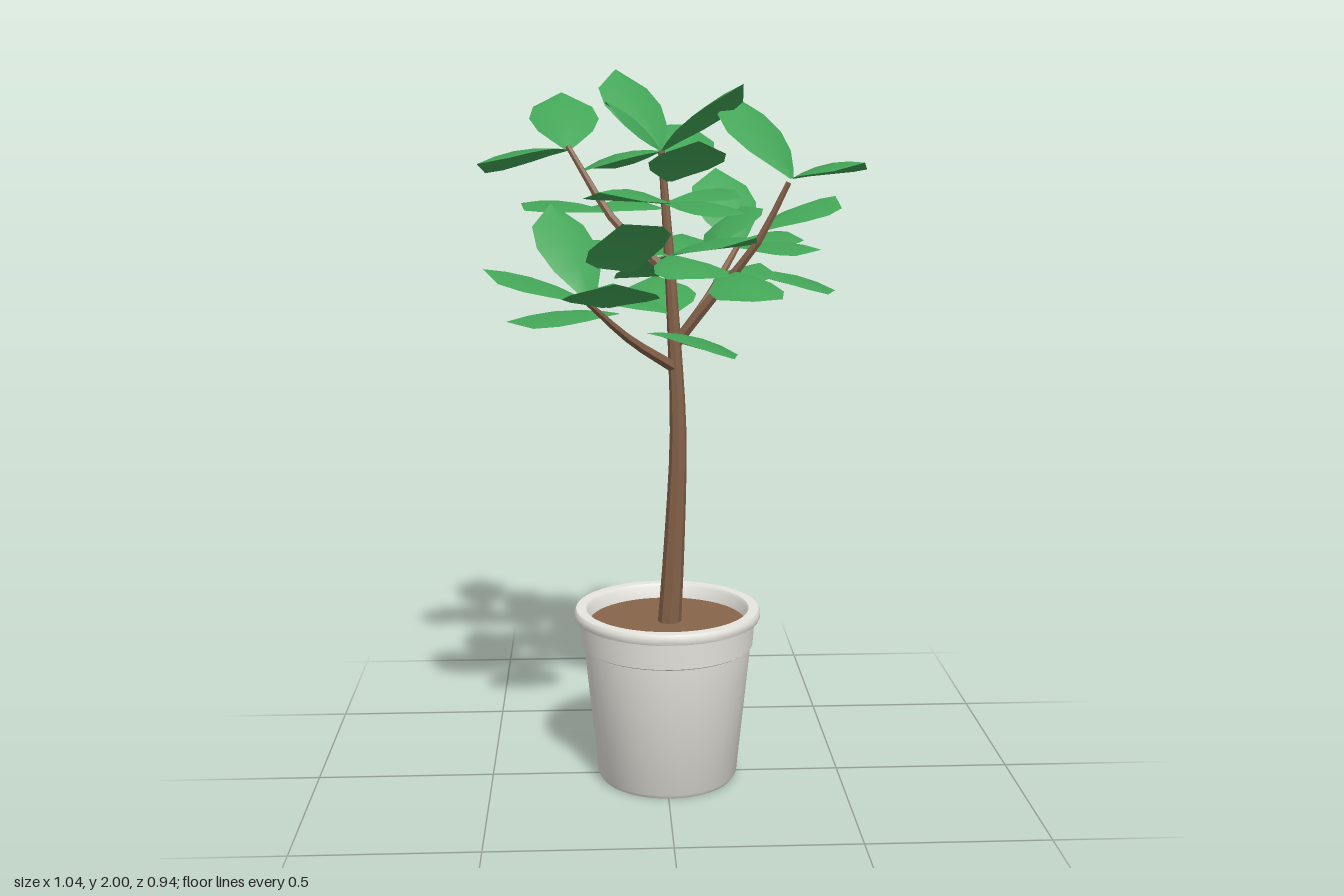
import * as THREE from 'three';
import { toCreasedNormals } from 'three/addons/utils/BufferGeometryUtils.js';

const V = (p) => new THREE.Vector3(...p);

// Tube along a smooth path, thinning from r0 to r1
function taperedTube(points, r0, r1, sides, steps) {
  const curve = new THREE.CatmullRomCurve3(points.map(V));
  const geo = new THREE.TubeGeometry(curve, steps, 1, sides, false);
  const pos = geo.attributes.position;
  const v = new THREE.Vector3();
  for (let i = 0; i <= steps; i++) {
    const c = curve.getPointAt(i / steps);
    const r = THREE.MathUtils.lerp(r0, r1, i / steps);
    for (let j = 0; j <= sides; j++) {
      const k = i * (sides + 1) + j;
      v.fromBufferAttribute(pos, k).sub(c).multiplyScalar(r).add(c);
      pos.setXYZ(k, v.x, v.y, v.z);
    }
  }
  geo.computeVertexNormals();
  return geo;
}

// Broad leaf from base to tip: three columns of points, arched and drooping at the sides.
// A positive roll raises the right-hand edge, looking from base to tip.
function leafGeometry(basePoint, tipPoint, width, roll = 0) {
  const base = V(basePoint);
  const dir = V(tipPoint).sub(base);
  const axis = dir.clone().normalize();
  const side = new THREE.Vector3().crossVectors(dir, new THREE.Vector3(0, 1, 0)).normalize();
  const up = new THREE.Vector3().crossVectors(side, axis);
  side.applyAxisAngle(axis, -roll);
  up.applyAxisAngle(axis, -roll);
  const rows = [[0, 0.03], [0.14, 0.19], [0.34, 0.39], [0.58, 0.5], [0.8, 0.43], [1, 0.01]];
  const verts = [], index = [];
  rows.forEach(([t, w], i) => {
    for (const s of [-1, 0, 1]) {
      const lift = 0.36 * width * t * (1 - t) - (s ? 0.27 * w * width : 0);
      const p = base.clone().addScaledVector(dir, t)
        .addScaledVector(side, s * w * width).addScaledVector(up, lift);
      verts.push(p.x, p.y, p.z);
    }
    if (i === 0) return;
    for (let c = 0; c < 2; c++) {
      const a = (i - 1) * 3 + c, b = a + 1, d = a + 3, e = a + 4;
      index.push(a, b, e, a, e, d);
    }
  });
  const geo = new THREE.BufferGeometry();
  geo.setAttribute('position', new THREE.Float32BufferAttribute(verts, 3));
  geo.setIndex(index);
  geo.computeVertexNormals();
  return geo;
}

export function createModel() {
  const model = new THREE.Group();
  model.name = 'pottedTree';
  const potGrey = new THREE.MeshStandardMaterial({ color: 0xebe9e2, name: 'potGrey' });
  const soilBrown = new THREE.MeshStandardMaterial({ color: 0x87644a, name: 'soilBrown' });
  const barkBrown = new THREE.MeshStandardMaterial({ color: 0x836149, name: 'barkBrown', flatShading: true });
  const leafGreen = new THREE.MeshStandardMaterial({ color: 0x43a557, name: 'leafGreen', side: THREE.DoubleSide });

  const add = (name, geo, mat, parent = model) => {
    const mesh = new THREE.Mesh(geo, mat);
    mesh.name = name;
    parent.add(mesh);
    return mesh;
  };

  // Pot with a collar band and a rolled rim
  const profile = [
    [0, 0], [0.192, 0], [0.2, 0.012], [0.238, 0.392], [0.244, 0.396], [0.249, 0.468],
    [0.262, 0.471], [0.265, 0.478], [0.265, 0.492], [0.26, 0.5], [0.232, 0.5], [0.226, 0.492], [0.22, 0.43],
  ].map(([r, y]) => new THREE.Vector2(r, y));
  const pot = add('pot', toCreasedNormals(new THREE.LatheGeometry(profile, 40), 0.6), potGrey);
  pot.position.x = 0.005;

  const soil = add('soil', new THREE.CircleGeometry(0.224, 40).rotateX(-Math.PI / 2), soilBrown);
  soil.position.set(0.005, 0.458, 0);

  // Trunk and branches
  add('trunk', taperedTube([[0.01, 0.43, 0], [0.025, 0.7, 0.005], [0.035, 1.0, 0.008], [0.025, 1.25, 0.005],
    [0.01, 1.5, 0], [-0.01, 1.78, -0.02]], 0.034, 0.009, 8, 14), barkBrown);
  const branches = new THREE.Group();
  branches.name = 'branches';
  model.add(branches);
  [
    [[0.025, 1.19, 0.005], [-0.1, 1.28, 0.09], [-0.22, 1.4, 0.2]],
    [[0.03, 1.26, 0], [0.13, 1.39, 0.03], [0.24, 1.53, 0.07], [0.325, 1.7, 0.09]],
    [[0.025, 1.25, 0], [0.12, 1.36, -0.12], [0.225, 1.51, -0.26]],
    [[0.01, 1.45, 0], [-0.14, 1.59, -0.1], [-0.265, 1.79, -0.17]],
  ].forEach((path) => add('branch', taperedTube(path, 0.017, 0.008, 6, 6), barkBrown, branches));

  const leaves = new THREE.Group();
  leaves.name = 'leaves';
  model.add(leaves);
  // Each cluster: shared base followed by [tip, width, roll] for its leaves
  const clusters = [
    // crown
    [[-0.01, 1.78, -0.02], [[-0.13, 2.0, -0.2], 0.19], [[0.2, 1.955, 0.1], 0.21], [[-0.22, 1.73, -0.12], 0.22],
      [[0.075, 1.85, -0.25], 0.22, -0.25], [[-0.16, 1.91, 0.1], 0.17, 0.5]],
    // back right-hand branch tip
    [[-0.265, 1.78, -0.17], [[-0.285, 1.94, -0.405], 0.2], [[-0.51, 1.745, -0.05], 0.22, -0.25]],
    // front left-hand branch tip
    [[0.335, 1.71, 0.08], [[0.185, 1.93, -0.08], 0.22], [[0.505, 1.755, 0.22], 0.2]],
    // back left-hand branch tip
    [[0.225, 1.5, -0.255], [[0.17, 1.72, -0.445], 0.2], [[0.39, 1.53, -0.45], 0.21], [[0.45, 1.5, -0.16], 0.21]],
    // front right-hand branch tip
    [[-0.2, 1.39, 0.2], [[-0.485, 1.48, 0.17], 0.21], [[-0.31, 1.64, 0], 0.18]],
    // upper trunk
    [[0, 1.64, 0], [[-0.18, 1.68, 0.21], 0.24], [[0.21, 1.62, 0.13], 0.2], [[0.2, 1.67, -0.13], 0.2]],
    // middle trunk
    [[0.01, 1.5, 0.01], [[0.23, 1.56, 0.18], 0.21], [[-0.08, 1.42, -0.2], 0.2], [[0.1, 1.46, 0.24], 0.21],
      [[-0.25, 1.54, 0.02], 0.2], [[0.06, 1.54, -0.25], 0.2]],
    // lower trunk
    [[0.02, 1.34, 0.005], [[-0.02, 1.42, -0.25], 0.2], [[-0.18, 1.4, -0.1], 0.19]],
  ];
  clusters.forEach(([base, ...tips]) => tips.forEach((tip) =>
    add('leaf', leafGeometry(base, ...tip), leafGreen, leaves)));
  // Single leaves along the branches: base, tip, width, roll
  [
    [[0.01, 1.7, 0.01], [0.075, 1.81, 0.235], 0.21],
    [[-0.165, 1.38, 0.19], [-0.145, 1.47, 0.47], 0.25],
    [[-0.09, 1.47, 0.13], [-0.125, 1.61, 0.385], 0.23, -0.35],
    [[-0.05, 1.3, 0.1], [0.2, 1.225, 0], 0.22],
    [[-0.13, 1.35, 0.07], [-0.43, 1.335, 0.12], 0.21],
    [[-0.15, 1.61, -0.11], [-0.4, 1.63, -0.23], 0.2],
    [[-0.18, 1.61, -0.13], [-0.06, 1.63, -0.37], 0.23],
    [[0.02, 1.44, -0.14], [-0.01, 1.41, -0.42], 0.22],
    [[0.26, 1.57, 0.05], [0.475, 1.655, -0.08], 0.2],
    [[0.2, 1.46, 0.05], [0.47, 1.4, -0.02], 0.22],
    [[0.19, 1.46, 0.06], [0.21, 1.41, 0.335], 0.2],
    [[0.14, 1.52, -0.03], [0.23, 1.62, -0.24], 0.19, 0.35],
    [[0.15, 1.4, -0.04], [0.28, 1.46, -0.2], 0.18],
  ].forEach((leaf) => add('leaf', leafGeometry(...leaf), leafGreen, leaves));

  return model;
}
